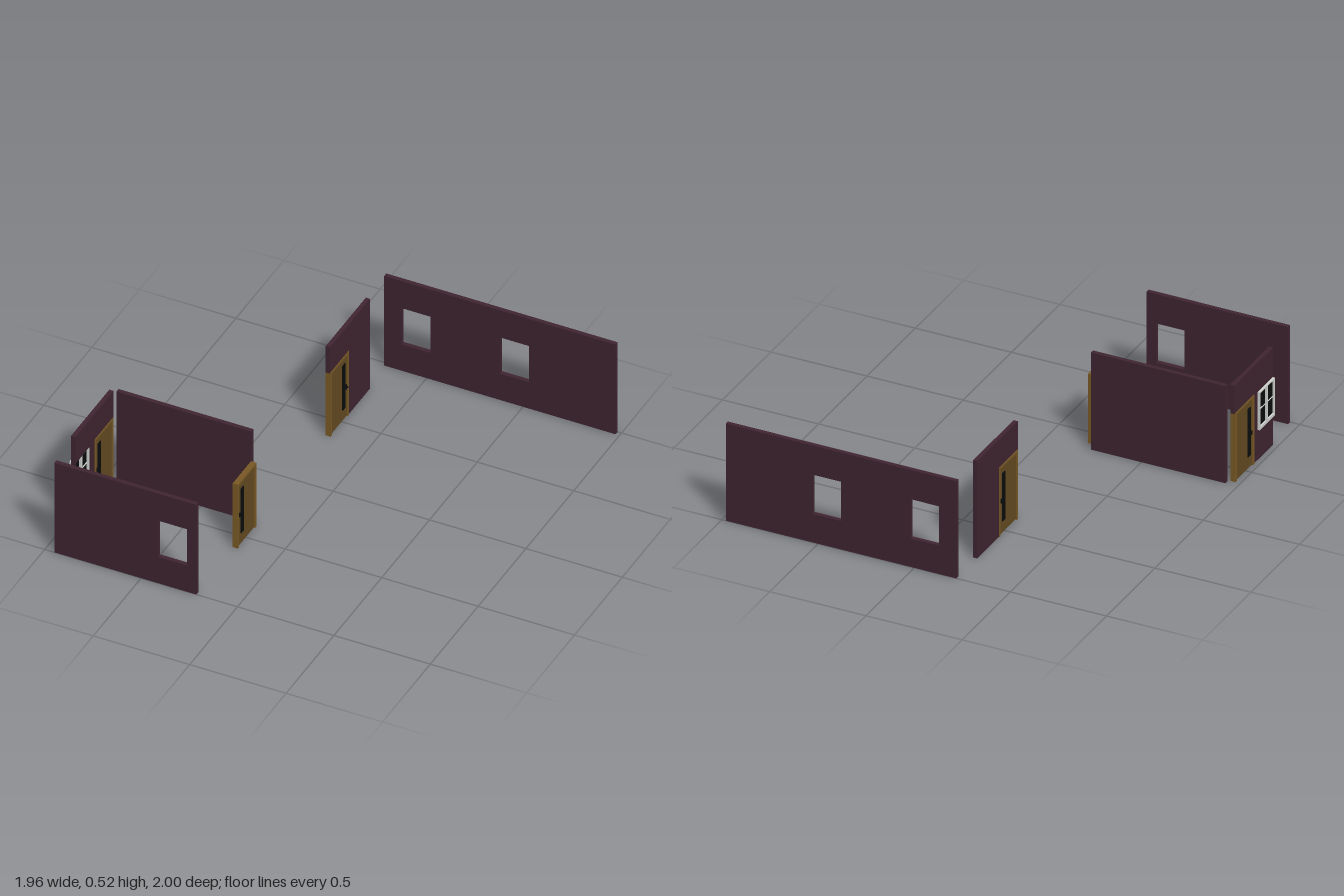
import * as THREE from 'three';

const mat = (name, color) => {
  const m = new THREE.MeshStandardMaterial({ color });
  m.name = name;
  return m;
};

export function createModel() {
  const model = new THREE.Group();
  model.name = 'housePartitions';
  const plum = mat('plumWall', 0x402531);
  const wood = mat('doorWood', 0x654a22);
  const gold = mat('frameWood', 0x7a5a26);
  const black = mat('blackGlass', 0x0b0d0e);
  const white = mat('windowWhite', 0xd4d7d4);
  const H = 0.52, T = 0.022;

  // Box given by its minimum and maximum corners
  function box(parent, name, material, a, b) {
    const mesh = new THREE.Mesh(new THREE.BoxGeometry(b[0] - a[0], b[1] - a[1], b[2] - a[2]), material);
    mesh.position.set((a[0] + b[0]) / 2, (a[1] + b[1]) / 2, (a[2] + b[2]) / 2);
    mesh.name = name;
    parent.add(mesh);
  }

  // Wall panel cut from an outline, with rectangular holes [u0, u1, v0, v1]
  function wall(name, outline, holes) {
    const shape = new THREE.Shape(outline.map(p => new THREE.Vector2(...p)));
    for (const [u0, u1, v0, v1] of holes) {
      shape.holes.push(new THREE.Path([[u0, v0], [u0, v1], [u1, v1], [u1, v0]].map(p => new THREE.Vector2(...p))));
    }
    const geo = new THREE.ExtrudeGeometry(shape, { depth: T, bevelEnabled: false });
    geo.translate(0, 0, -T / 2);
    const mesh = new THREE.Mesh(geo, plum);
    mesh.name = name;
    model.add(mesh);
    return mesh;
  }
  const rect = (a, b) => [[a, 0], [b, 0], [b, H], [a, H]];

  // Walls running along x
  wall('backWall', rect(-0.22, 0.98), [[-0.13, 0.02, 0.153, 0.363], [0.38, 0.53, 0.153, 0.363]]).position.z = -0.989;
  wall('frontWall', rect(-0.95, -0.213), [[-0.412, -0.262, 0.153, 0.363]]).position.z = 0.989;
  wall('middleWall', rect(-0.937, -0.238), []).position.z = 0.366;

  // Walls running along z, notched for a door at one end
  const sideWall = wall('windowSideWall',
    [[0.577, 0], [0.778, 0], [0.778, H], [0.378, H], [0.378, 0.367], [0.577, 0.367]],
    [[0.618, 0.772, 0.16, 0.363]]);
  const doorWall = wall('doorSideWall',
    [[-0.79, 0], [-0.562, 0], [-0.562, 0.367], [-0.37, 0.367], [-0.37, H], [-0.79, H]], []);
  sideWall.position.x = -0.962;
  doorWall.position.x = -0.211;
  for (const w of [sideWall, doorWall]) w.rotation.y = -Math.PI / 2;

  // Door: modelled with its handle near +z and its lever on +x
  function door(name, x, z, turn, leverSide) {
    const g = new THREE.Group();
    g.name = name;
    const w = 0.096, top = 0.37, f = 0.013, d = 0.0138;
    box(g, 'doorPanel', wood, [-0.009, 0.004, -w + f], [0.009, top - f, w - f]);
    for (const s of [-1, 1]) {
      const z0 = s < 0 ? -w : w - f;
      box(g, 'frameJamb', gold, [-d, 0, z0], [d, top, z0 + f]);
      const face = s * 0.011;
      box(g, 'glassStrip', black, [face - 0.0025, 0.065, 0.033], [face + 0.0025, 0.322, 0.061]);
      box(g, 'handlePlate', black, [face - 0.0025, 0.168, 0.067], [face + 0.0025, 0.19, 0.076]);
    }
    box(g, 'frameHead', gold, [-d, top - f, -w + f], [d, top, w - f]);
    const x0 = leverSide > 0 ? 0.012 : -0.02;
    box(g, 'handleLever', black, [x0, 0.174, 0.055], [x0 + 0.008, 0.18, 0.076]);
    g.position.set(x, 0, z);
    if (turn) g.rotation.y = Math.PI;
    model.add(g);
  }
  door('sideDoor', -0.962, 0.481, false, 1);
  door('innerDoor', -0.212, 0.499, false, -1);
  door('rearDoor', -0.211, -0.469, true, -1);

  // Window: white frame, two glazed sashes with thin cross bars, and a sill
  const win = new THREE.Group();
  win.name = 'window';
  const zA = 0.618, zB = 0.774, xA = -0.984, xB = -0.958;
  box(win, 'glass', black, [-0.975, 0.17, zA + 0.005], [-0.969, 0.358, zB - 0.005]);
  box(win, 'frameTop', white, [xA, 0.355, zA], [xB, 0.363, zB]);
  box(win, 'sill', white, [xA, 0.16, zA], [xB, 0.176, zB]);
  for (const [a, b] of [[zA, zA + 0.008], [0.69, 0.704], [zB - 0.008, zB]]) {
    box(win, 'frameUpright', white, [xA, 0.176, a], [xB, 0.355, b]);
  }
  box(win, 'crossBar', white, [-0.979, 0.263, zA + 0.008], [-0.965, 0.268, zB - 0.008]);
  model.add(win);

  return model;
}
